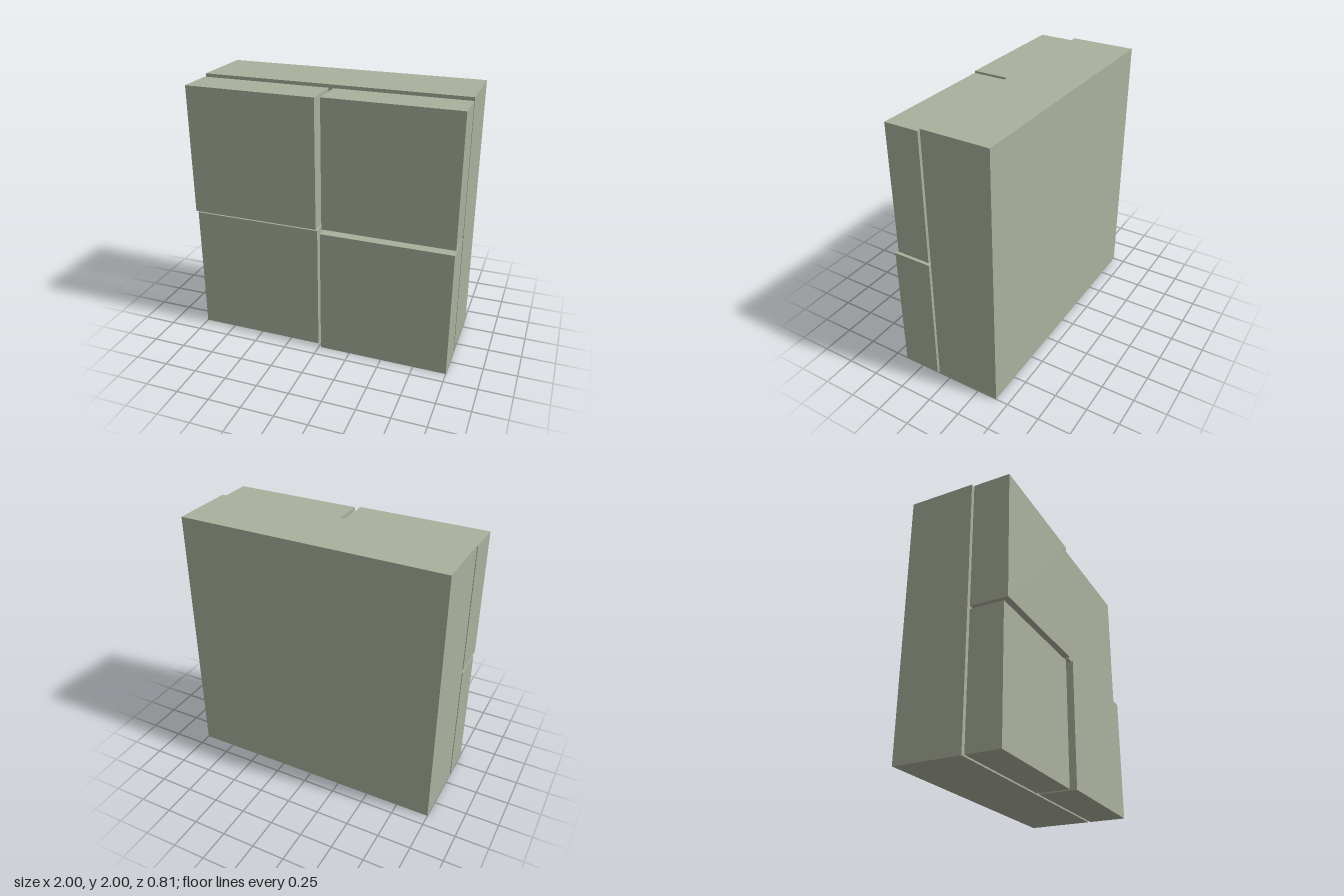
import * as THREE from 'three';

export function createModel() {
  const model = new THREE.Group();
  const sage = new THREE.MeshStandardMaterial({ color: 0xaab09d });
  sage.name = 'sage';

  // Adds a box spanning the given ranges on each axis
  const addBox = (name, [x0, x1], [y0, y1], [z0, z1]) => {
    const mesh = new THREE.Mesh(new THREE.BoxGeometry(x1 - x0, y1 - y0, z1 - z0), sage);
    mesh.position.set((x0 + x1) / 2, (y0 + y1) / 2, (z0 + z1) / 2);
    mesh.name = name;
    model.add(mesh);
  };

  // Main body
  addBox('cabinetBody', [-1, 1], [0, 2], [-0.405, 0.095]);

  // Four front blocks, separated by narrow gaps, each with its own depth
  const left = [0.018, 1], right = [-1, -0.018];
  const lower = [0, 0.98], upper = [1.003, 1.98];
  const back = 0.115;
  addBox('lowerLeftDoor', left, lower, [back, 0.405]);
  addBox('upperLeftDoor', left, upper, [back, 0.373]);
  addBox('lowerRightDoor', right, lower, [back, 0.365]);
  addBox('upperRightDoor', right, upper, [back, 0.394]);

  return model;
}
